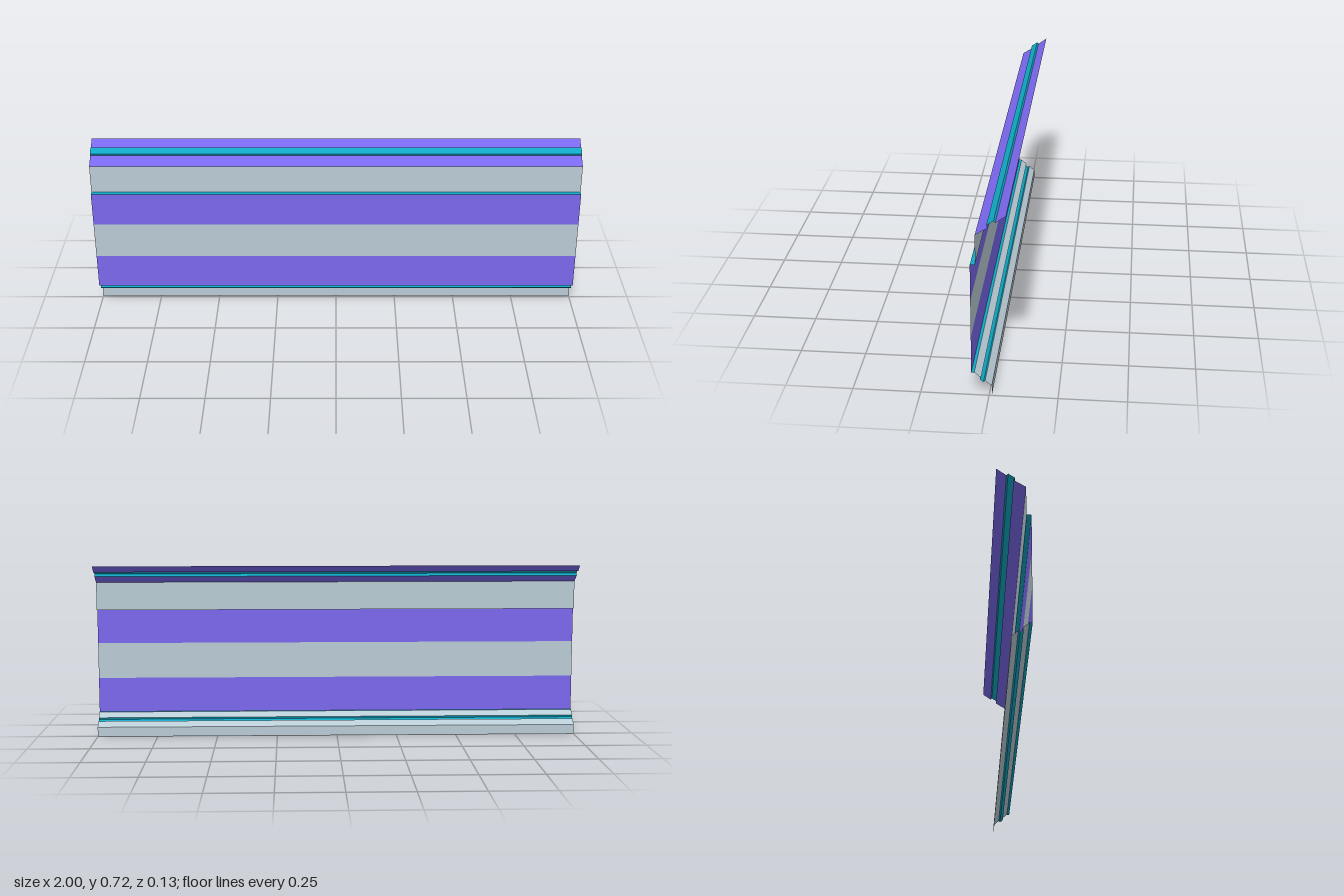
import * as THREE from 'three';

const PURPLE = 0x7b68ee, GREY = 0xbaccd5, TEAL = 0x10a8c4;

// Folded-sheet profile from bottom to top: [z, y], then the strips between points
const profile = [
  [-0.01, 0], [-0.01, 0.04], [0.014, 0.061], [0.02, 0.055], [0.033, 0.065], [0.029, 0.073],
  [0.053, 0.093], [0.064, 0.093], [0.064, 0.237], [0.064, 0.385], [0.064, 0.525], [0.046, 0.526],
  [0.045, 0.642], [0, 0.67], [0.005, 0.68], [-0.02, 0.697], [-0.026, 0.69], [-0.063, 0.717],
];
const strips = [
  ['bottomFlange', GREY], ['lowerSlopeOuter', GREY], ['lowerRibEdgeOuter', TEAL], ['lowerRib', TEAL],
  ['lowerRibEdgeInner', TEAL], ['lowerSlopeInner', GREY], ['lowerLedge', TEAL],
  ['lowerBand', PURPLE], ['middleBand', GREY], ['upperBand', PURPLE], ['upperLedge', TEAL],
  ['upperWall', GREY], ['upperSlopeInner', PURPLE], ['upperRibEdgeInner', TEAL], ['upperRib', TEAL],
  ['upperRibEdgeOuter', TEAL], ['upperSlopeOuter', PURPLE],
];

// Flat strip spanning the full width between two profile points
function strip(name, color, [z0, y0], [z1, y1]) {
  const geometry = new THREE.BufferGeometry();
  geometry.setAttribute('position', new THREE.Float32BufferAttribute(
    [-1, y0, z0, 1, y0, z0, 1, y1, z1, -1, y1, z1], 3));
  geometry.setIndex([0, 1, 2, 0, 2, 3]);
  geometry.computeVertexNormals();
  const material = new THREE.MeshStandardMaterial({ color, side: THREE.DoubleSide });
  const mesh = new THREE.Mesh(geometry, material);
  mesh.name = name;
  return mesh;
}

export function createModel() {
  const group = new THREE.Group();
  group.name = 'foldedPanel';
  strips.forEach(([name, color], i) => group.add(strip(name, color, profile[i], profile[i + 1])));
  return group;
}
